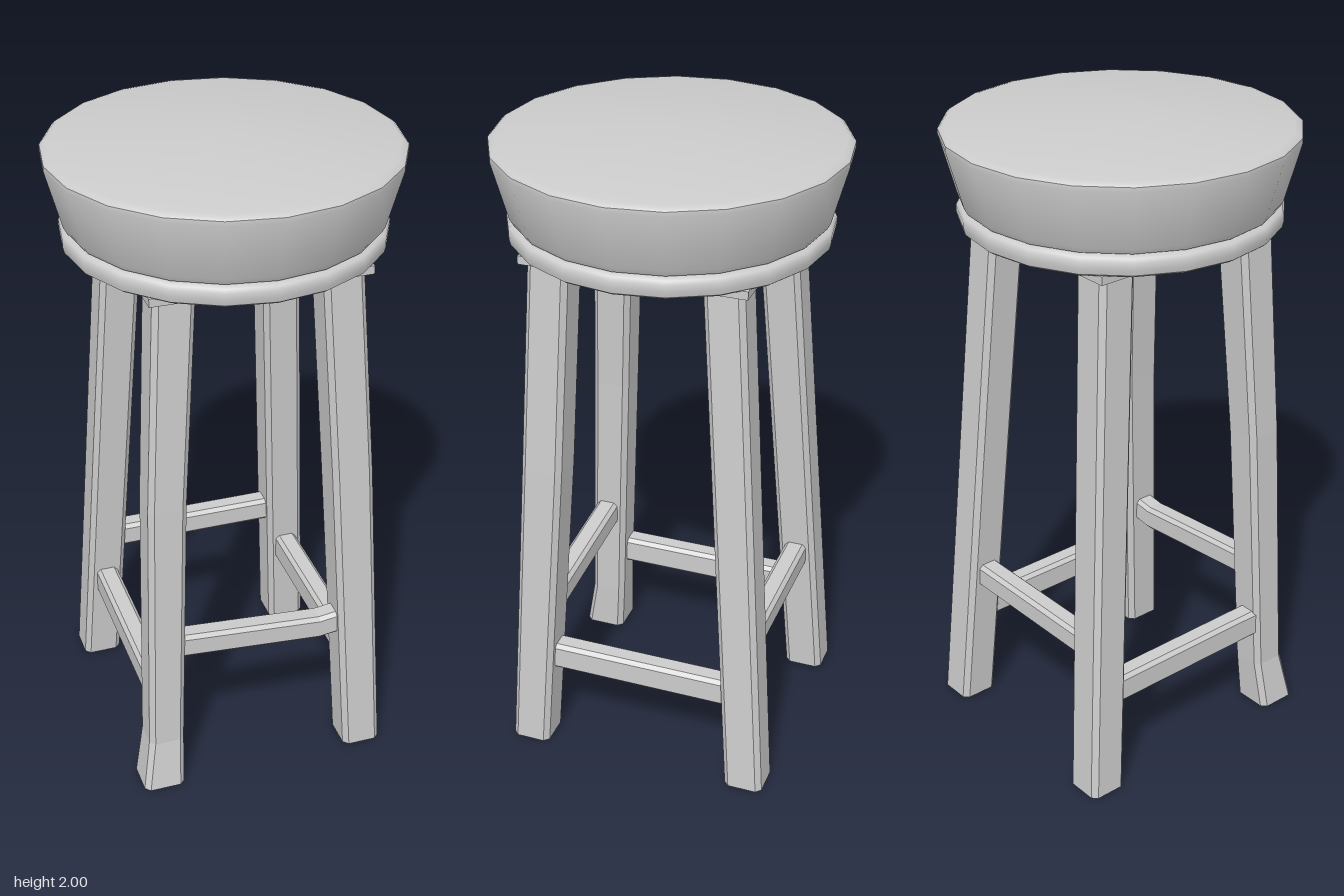
import * as THREE from 'three';
import { toCreasedNormals } from 'three/addons/utils/BufferGeometryUtils.js';

const material = new THREE.MeshStandardMaterial({ color: 0xcccccc });
const flat = new THREE.MeshStandardMaterial({ color: 0xcccccc, flatShading: true });

function add(group, name, geometry, mat = flat) {
  const mesh = new THREE.Mesh(geometry, mat);
  mesh.name = name;
  group.add(mesh);
  return mesh;
}

// Square section with chamfered corners, as [u, v] offsets
function section(w, h, c) {
  const a = w / 2, b = h / 2;
  return [[a, -b + c], [a, b - c], [a - c, b], [-a + c, b], [-a, b - c], [-a, -b + c], [-a + c, -b], [a - c, -b]];
}

// Skin a list of equal-length rings of points and cap both ends
function loft(rings) {
  const n = rings[0].length, index = [], last = (rings.length - 1) * n;
  for (let r = 0; r < rings.length - 1; r++) {
    for (let i = 0; i < n; i++) {
      const a = r * n + i, b = r * n + (i + 1) % n;
      index.push(a, a + n, b, b, a + n, b + n);
    }
  }
  for (let i = 1; i < n - 1; i++) {
    index.push(0, i, i + 1, last, last + i + 1, last + i);
  }
  const g = new THREE.BufferGeometry();
  g.setAttribute('position', new THREE.Float32BufferAttribute(rings.flat(2), 3));
  g.setIndex(index);
  const out = g.toNonIndexed();
  out.computeVertexNormals();
  return out;
}

// Leg through [x, y, z, width] stations, bottom to top
function leg(stations) {
  return loft(stations.map(([x, y, z, w]) =>
    section(w, w, 0.016).map(([u, v]) => [x + u, y, z + v])));
}

// Rail along x through [x, y] stations
function rail(stations, height, depth) {
  return loft(stations.map(([x, y]) =>
    section(height, depth, 0.012).map(([u, v]) => [x, y - u, v])));
}

function turned(profile) {
  const g = new THREE.LatheGeometry(profile.map(([r, y]) => new THREE.Vector2(r, y)), 20);
  return toCreasedNormals(g, 0.7);
}

export function createModel() {
  const stool = new THREE.Group();
  stool.name = 'stool';

  // Flared cushion with a gently domed top
  add(stool, 'cushion', turned([[0, 1.75], [0.44, 1.75], [0.466, 1.757], [0.476, 1.775],
    [0.524, 1.952], [0.523, 1.966], [0.515, 1.973], [0.5, 1.977], [0, 2]]), material);

  // Wooden seat disc with rounded rim
  add(stool, 'seatBase', turned([[0, 1.69], [0.465, 1.69], [0.476, 1.698], [0.48, 1.715],
    [0.48, 1.735], [0.474, 1.746], [0.46, 1.752], [0, 1.752]]), material);

  // Splayed legs; the front ones are slightly irregular
  const legs = {
    frontLeftLeg: [[0.34, 0, 0.343, 0.122], [0.295, 1, 0.288, 0.128], [0.252, 1.68, 0.262, 0.125]],
    frontRightLeg: [[-0.33, 0, 0.35, 0.13], [-0.312, 0.16, 0.33, 0.112],
      [-0.286, 1, 0.295, 0.118], [-0.247, 1.68, 0.262, 0.125]],
    backLeftLeg: [[0.34, 0, -0.38, 0.122], [0.252, 1.68, -0.262, 0.122]],
    backRightLeg: [[-0.338, 0, -0.38, 0.122], [-0.247, 1.68, -0.262, 0.122]],
  };
  for (const [name, stations] of Object.entries(legs)) {
    add(stool, name, leg(stations));
    // Mounting plate under the seat
    const [x, , z] = stations[stations.length - 1];
    const plate = add(stool, name + 'Plate', new THREE.BoxGeometry(0.16, 0.026, 0.16));
    plate.position.set(x, 1.68, z);
  }

  // Upper rails front and back: the front one is skewed
  add(stool, 'frontRail', rail([[-0.3, 0.495], [0.2, 0.457], [0.31, 0.472]], 0.08, 0.07)).position.z = 0.32;
  add(stool, 'backRail', rail([[-0.31, 0.47], [0.31, 0.47]], 0.08, 0.07)).position.z = -0.345;

  // Lower rails on the two sides
  for (const [name, x] of [['leftRail', 0.322], ['rightRail', -0.318]]) {
    const side = add(stool, name, rail([[-0.33, 0.318], [0.35, 0.318]], 0.092, 0.07));
    side.rotation.y = Math.PI / 2;
    side.position.x = x;
  }
  return stool;
}
